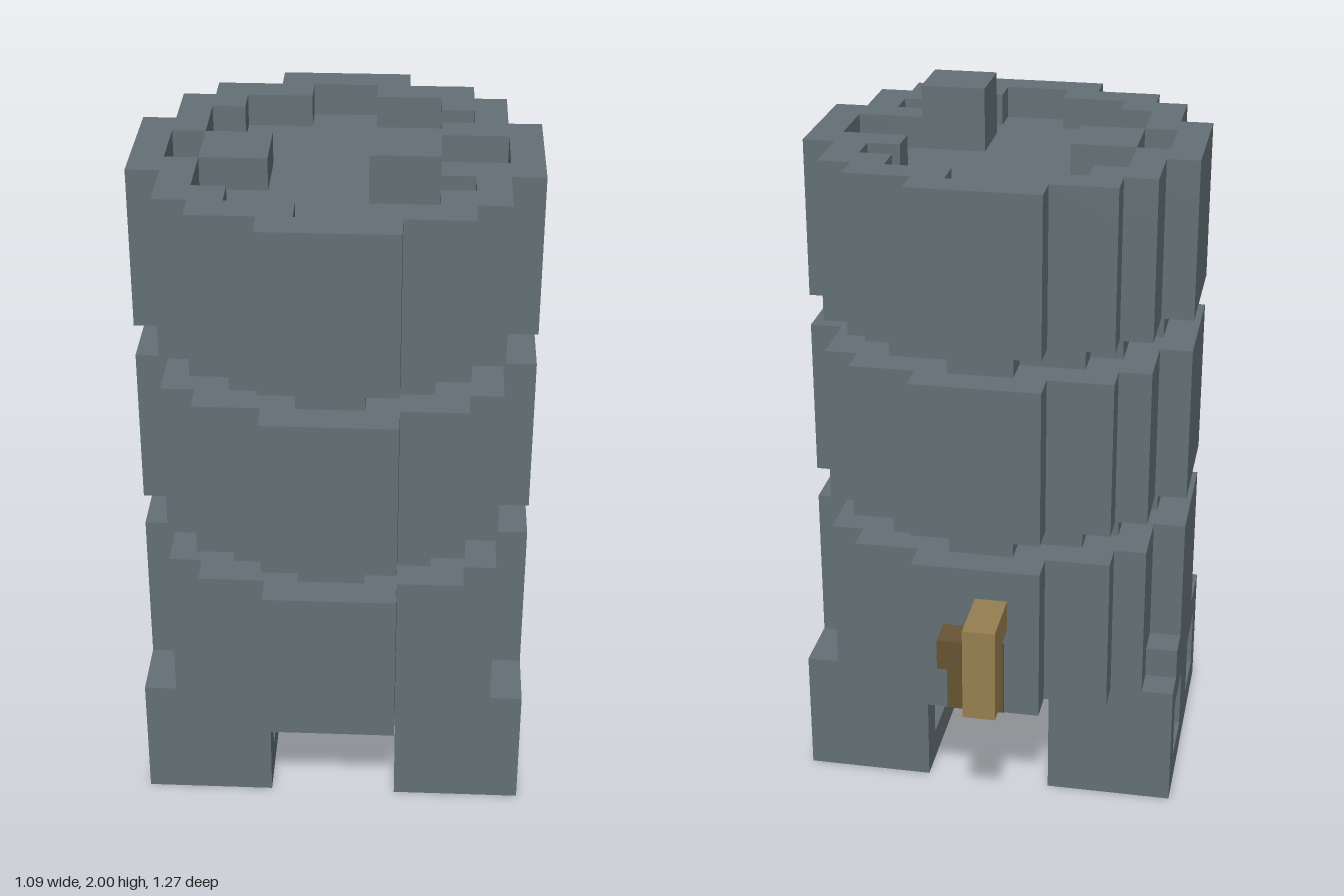
import * as THREE from 'three';

const U = 1 / 11; // one grid unit of the blocky model

function material(name, color) {
  const m = new THREE.MeshStandardMaterial({ color });
  m.name = name;
  return m;
}

// Stepped round outline, mirrored from the corner steps of one quadrant.
function steppedPoints(steps) {
  const quarter = [];
  steps.forEach(([x, y], i) => {
    quarter.push([x, y]);
    if (i < steps.length - 1) quarter.push([steps[i + 1][0], y]);
  });
  const back = [...quarter].reverse();
  return [
    ...quarter,
    ...back.map(([x, y]) => [-x, y]),
    ...quarter.map(([x, y]) => [-x, -y]),
    ...back.map(([x, y]) => [x, -y]),
  ].map(([x, y]) => new THREE.Vector2(x, y));
}

const rectPoints = (x0, y0, x1, y1) =>
  [[x0, y0], [x1, y0], [x1, y1], [x0, y1]].map(([x, y]) => new THREE.Vector2(x, y));

function extrude(points, depth, holes = []) {
  const shape = new THREE.Shape(points);
  holes.forEach((h) => shape.holes.push(new THREE.Path(h)));
  return new THREE.ExtrudeGeometry(shape, { depth, bevelEnabled: false });
}

export function createModel() {
  const grey = material('slate grey', 0x637075);
  const tan = material('light brown', 0x967e50);
  const brown = material('dark brown', 0x665432);

  const model = new THREE.Group();
  model.name = 'model';
  model.scale.setScalar(U);

  const add = (name, geometry, mat) => {
    const mesh = new THREE.Mesh(geometry, mat);
    mesh.name = name;
    model.add(mesh);
  };
  const box = (name, mat, [x0, y0, z0], [x1, y1, z1]) =>
    add(name, new THREE.BoxGeometry(x1 - x0, y1 - y0, z1 - z0)
      .translate((x0 + x1) / 2, (y0 + y1) / 2, (z0 + z1) / 2), mat);
  const layer = (name, points, y0, y1, holes) =>
    add(name, extrude(points, y1 - y0, holes).rotateX(-Math.PI / 2).translate(0, y0, 1), grey);

  // Body: three wide drums joined by narrow necks
  const wide = steppedPoints([[6, 2], [5, 4], [4, 5], [2, 6]]);
  const narrow = steppedPoints([[5, 1], [4, 3], [3, 4], [1, 5]]);
  layer('lowerDrum', wide, 4, 9);
  layer('lowerNeck', narrow, 9, 10);
  layer('middleDrum', wide, 10, 15);
  layer('upperNeck', narrow, 15, 16);
  layer('upperDrum', wide, 16, 20);
  layer('topRim', wide, 20, 21, [narrow]);

  // Blocks inside the top recess
  box('tallTopBlock', grey, [1, 20, 2], [3, 22, 4]);
  box('lowTopBlock', grey, [-4, 20, 0], [-2, 21, 2]);
  box('rimBlockBack', grey, [3, 20, -1], [4, 21, 0]);
  box('rimBlockFront', grey, [3, 20, 2], [4, 21, 3]);

  // Feet with two square openings running sideways
  const holes = [rectPoints(-3, 1, -1, 3), rectPoints(1, 1, 3, 3)];
  for (const [name, x] of [['leftFoot', 2], ['rightFoot', -6]]) {
    add(name, extrude(rectPoints(-4, 0, 4, 4), 4, holes)
      .rotateY(Math.PI / 2).translate(x, 0, 1), grey);
  }
  box('footStud', grey, [-6, 4, -2], [-5, 5, -1]);

  // Hooked handle on the back
  box('handleArm', tan, [-1, 7, -6], [0, 8, -5]);
  box('handleGrip', tan, [-1, 5, -7], [0, 8, -6]);
  box('handlePeg', brown, [0, 6, -6], [1, 7, -5]);
  box('handlePlate', brown, [-0.9, 4, -5.03], [0.9, 6.5, -5]);

  return model;
}
